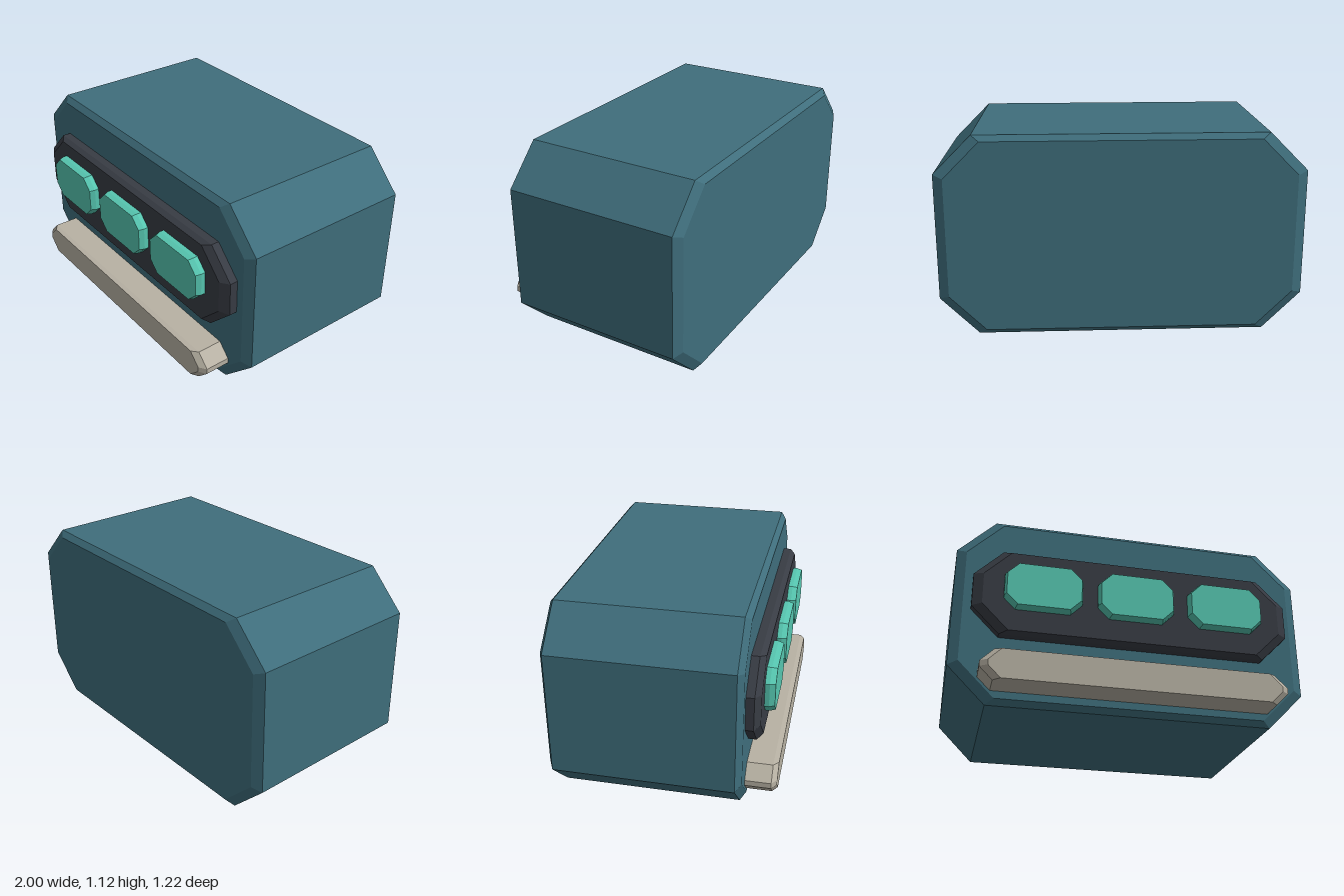
import * as THREE from 'three';

const mat = (name, color) => new THREE.MeshStandardMaterial({ name, color, flatShading: true });

// Octagon with 45 degree cut corners, counter-clockwise seen from the front
function octagon(w, h, c) {
  const x = w / 2, y = h / 2;
  return [[x, c - y], [x, y - c], [x - c, y], [c - x, y], [-x, y - c], [-x, c - y], [c - x, -y], [x - c, -y]];
}

// Block made of octagon sections, listed from back to front as [z, scale]
function octagonBlock(w, h, c, sections) {
  const outline = octagon(w, h, c), pos = [];
  const rings = sections.map(([z, s]) => outline.map(([x, y]) => [x * s, y * s, z]));
  const tri = (p, q, r) => pos.push(...p, ...q, ...r);
  for (let k = 0; k + 1 < rings.length; k++) {
    const a = rings[k], b = rings[k + 1];
    for (let i = 0; i < 8; i++) {
      const j = (i + 1) % 8;
      tri(a[i], a[j], b[j]);
      tri(a[i], b[j], b[i]);
    }
  }
  // flat end caps
  const back = rings[0], front = rings[rings.length - 1];
  for (let i = 1; i < 7; i++) {
    tri(front[0], front[i], front[i + 1]);
    tri(back[0], back[i + 1], back[i]);
  }
  const g = new THREE.BufferGeometry();
  g.setAttribute('position', new THREE.Float32BufferAttribute(pos, 3));
  g.computeVertexNormals();
  return g;
}

export function createModel() {
  const group = new THREE.Group();
  const teal = mat('teal shell', 0x3f6e7c);
  const dark = mat('dark panel', 0x383c44);
  const mint = mat('mint light', 0x56c6b0);
  const beige = mat('beige trim', 0xb8b2a4);

  const add = (name, geometry, material, x, y) => {
    const m = new THREE.Mesh(geometry, material);
    m.name = name;
    m.position.set(x, y, 0);
    group.add(m);
  };

  // Main shell, bevelled at both ends
  add('body', octagonBlock(2, 1.12, 0.21,
    [[-0.61, 0.945], [-0.58, 1], [0.41, 1], [0.44, 0.945]]), teal, 0, 0.56);

  // Face panel
  add('facePanel', octagonBlock(1.8, 0.505, 0.155,
    [[0.42, 1], [0.485, 1], [0.515, 0.94]]), dark, 0, 0.633);

  // Three lights on the panel
  const light = octagonBlock(0.43, 0.264, 0.065, [[0.49, 1], [0.54, 1], [0.57, 0.95]]);
  ['rightLight', 'middleLight', 'leftLight'].forEach((name, i) =>
    add(name, light, mint, (i - 1) * 0.518, 0.653));

  // Lower bumper bar
  add('bumper', octagonBlock(1.68, 0.174, 0.071,
    [[0.42, 1], [0.582, 1], [0.61, 0.95]]), beige, 0, 0.159);

  return group;
}
